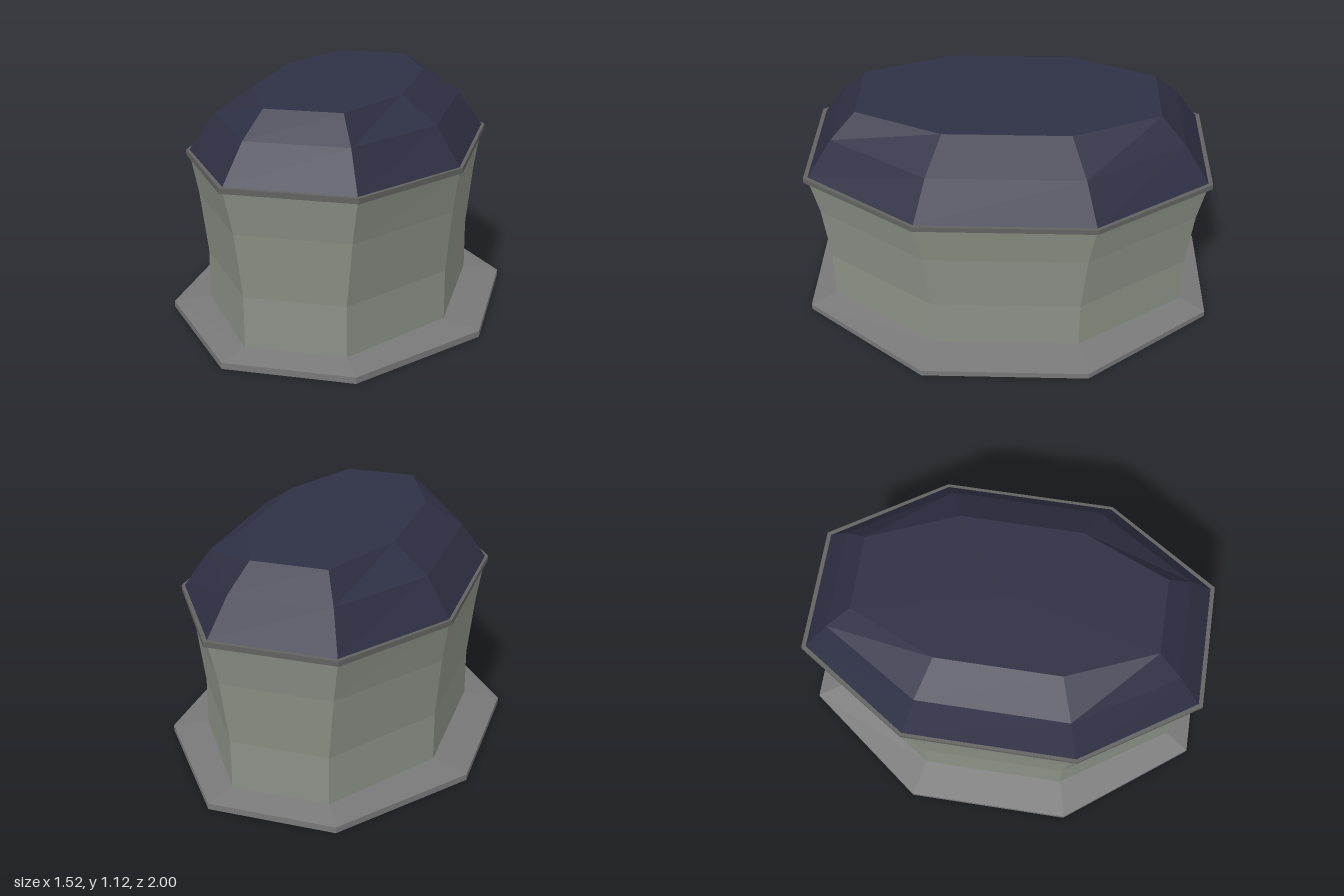
import * as THREE from 'three';

// Octagonal ring: y, half width, half width of the end face, half length, half length of the side face
function ring([y, w, we, l, ls]) {
  return [[w, ls], [we, l], [-we, l], [-w, ls], [-w, -ls], [-we, -l], [we, -l], [w, -ls]]
    .map(([x, z]) => [x, y, z]);
}

// Join successive rings with flat faces
function loft(name, sections, color) {
  const rings = sections.map(ring);
  const pos = [];
  for (let s = 0; s < rings.length - 1; s++) {
    for (let i = 0; i < 8; i++) {
      const j = (i + 1) % 8;
      const a = rings[s][i], b = rings[s][j], c = rings[s + 1][i], d = rings[s + 1][j];
      pos.push(...a, ...c, ...b, ...b, ...c, ...d);
    }
  }
  const geo = new THREE.BufferGeometry();
  geo.setAttribute('position', new THREE.Float32BufferAttribute(pos, 3));
  geo.computeVertexNormals();
  const mat = new THREE.MeshStandardMaterial({ color, flatShading: true, side: THREE.DoubleSide });
  const mesh = new THREE.Mesh(geo, mat);
  mesh.name = name;
  return mesh;
}

export function createModel() {
  const group = new THREE.Group();
  group.name = 'octagonalPod';

  const foot = [0.585, 0.235, 0.88, 0.355];
  const flange = [0.76, 0.305, 1, 0.4];
  const lip = [0.66, 0.305, 0.96, 0.415];
  const top = [0.645, 0.295, 0.94, 0.41];

  // Base flange with an open middle
  group.add(loft('baseFlange', [
    [0, ...foot], [0, ...flange], [0.03, ...flange], [0.06, ...foot],
  ], 0x787878));

  // Flaring wall, hollow inside
  group.add(loft('wall', [
    [0, ...foot], [0.3, ...foot], [0.6, 0.615, 0.265, 0.905, 0.38], [0.8, ...top],
  ], 0x8a9186));

  // Thin rim between wall and roof
  group.add(loft('rim', [
    [0.8, ...top], [0.8, ...lip], [0.825, ...lip], [0.825, ...top], [0.8, ...top],
  ], 0x626260));

  // Faceted roof with a flat top
  group.add(loft('roof', [
    [0.825, ...top], [1.0, 0.53, 0.24, 0.825, 0.36], [1.12, 0.355, 0.18, 0.71, 0.295], [1.12, 0, 0, 0, 0],
  ], 0x2e3044));

  return group;
}
